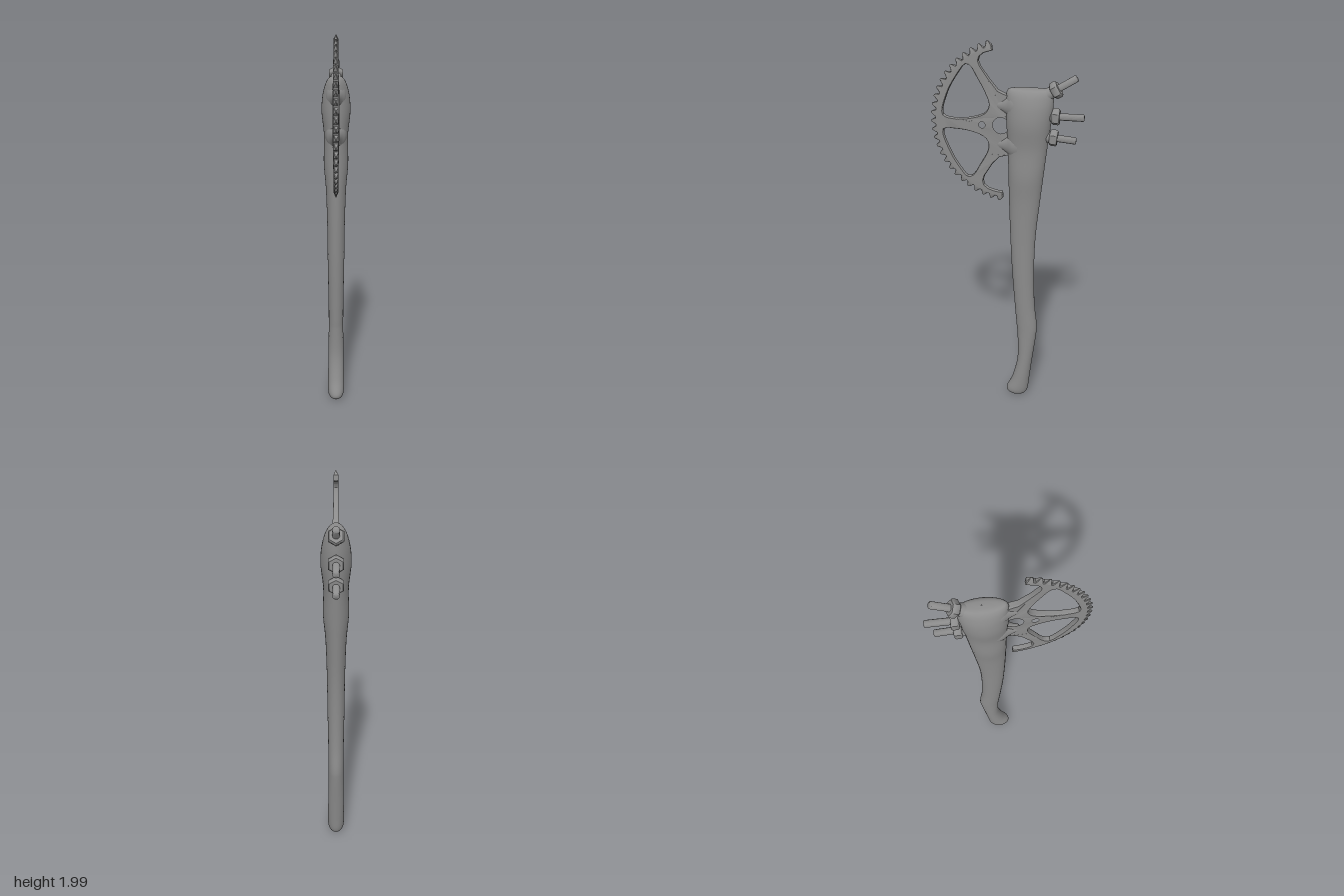
import * as THREE from 'three';
import { toCreasedNormals } from 'three/addons/utils/BufferGeometryUtils.js';

const material = new THREE.MeshStandardMaterial({ color: 0x8c8c8c });

function part(name, geometry, parent) {
  const mesh = new THREE.Mesh(geometry, material);
  mesh.name = name;
  parent.add(mesh);
  return mesh;
}

// Handle: oval cross-sections [y, front z, back z, half width], smoothed by a spline
const SECTIONS = [
  [0.002, -0.055, -0.065, 0.001], [0.01, -0.02, -0.1, 0.028], [0.04, -0.002, -0.12, 0.043],
  [0.12, -0.035, -0.13, 0.044], [0.25, -0.063, -0.145, 0.042], [0.4, -0.062, -0.163, 0.04],
  [0.47, -0.056, -0.166, 0.04], [0.6, -0.045, -0.152, 0.041], [0.8, -0.03, -0.146, 0.044],
  [1.0, -0.02, -0.151, 0.046], [1.2, -0.013, -0.17, 0.052], [1.34, -0.01, -0.185, 0.063],
  [1.48, -0.006, -0.2, 0.061], [1.6, 0, -0.215, 0.073], [1.68, 0.001, -0.224, 0.069],
  [1.735, 0.002, -0.226, 0.056], [1.765, -0.004, -0.223, 0.041], [1.776, -0.025, -0.205, 0.025],
  [1.779, -0.112, -0.118, 0.001],
];

function handleGeometry(rows = 108, sides = 32) {
  const edges = new THREE.CatmullRomCurve3(
    SECTIONS.map(([y, f, b]) => new THREE.Vector3(f, y, b)), false, 'catmullrom', 0.5);
  const widths = new THREE.CatmullRomCurve3(
    SECTIONS.map(([y, , , w]) => new THREE.Vector3(w, y, 0)), false, 'catmullrom', 0.5);
  const positions = [], index = [];
  for (let i = 0; i <= rows; i++) {
    const e = edges.getPoint(i / rows), w = widths.getPoint(i / rows).x;
    for (let j = 0; j < sides; j++) {
      const a = (j / sides) * Math.PI * 2;
      positions.push(w * Math.sin(a), e.y, (e.x + e.z) / 2 + ((e.x - e.z) / 2) * Math.cos(a));
      if (i < rows) {
        const p = i * sides + j, q = i * sides + (j + 1) % sides;
        index.push(p, q, q + sides, p, q + sides, p + sides);
      }
    }
  }
  const geometry = new THREE.BufferGeometry();
  geometry.setAttribute('position', new THREE.Float32BufferAttribute(positions, 3));
  geometry.setIndex(index);
  geometry.computeVertexNormals();
  return geometry;
}

// Toothed blade, drawn in (z, y) and extruded across x
const CENTRE = { z: -0.038, y: 1.6 }, RADIUS = 0.414;
const rimPoint = (angle, r) => new THREE.Vector2(
  CENTRE.z + RADIUS * r * Math.cos(angle), CENTRE.y + RADIUS * r * Math.sin(angle));
const toPoints = (list) => list.map(([z, y]) => new THREE.Vector2(z, y));

function roundedHole(list) {
  const curve = new THREE.CatmullRomCurve3(list.map(([z, y]) => new THREE.Vector3(z, y, 0)), true);
  return new THREE.Path(curve.getSpacedPoints(44).slice(0, -1).map((p) => new THREE.Vector2(p.x, p.y)));
}

function bladeGeometry() {
  const teeth = 26, start = 1.3, end = -1.44, root = 0.945;
  const outline = [];
  for (let i = 0; i < teeth; i++) {
    for (const [t, r] of [[0.08, root], [0.4, 1], [0.6, 1], [0.92, root]]) {
      outline.push(rimPoint(start + (end - start) * (i + t) / teeth, r));
    }
  }
  // lower rim end, lower spoke, buried root, upper spoke, upper rim end
  outline.push(...toPoints([[0.02, 1.242], [0.06, 1.248], [0.09, 1.258], [0.112, 1.275],
    [0.118, 1.298], [0.11, 1.325], [0.066, 1.395], [0.034, 1.428], [0, 1.438], [-0.05, 1.438],
    [-0.05, 1.745], [0, 1.745], [0.04, 1.762], [0.087, 1.82], [0.125, 1.875], [0.134, 1.9],
    [0.128, 1.92], [0.108, 1.937], [0.066, 1.95]]));
  const shape = new THREE.Shape(outline);
  shape.holes.push(
    roundedHole([[0.312, 1.63], [0.29, 1.735], [0.236, 1.832], [0.194, 1.882], [0.174, 1.874],
      [0.142, 1.82], [0.104, 1.75], [0.084, 1.69], [0.104, 1.65], [0.167, 1.624], [0.246, 1.614]]),
    roundedHole([[0.312, 1.555], [0.246, 1.56], [0.167, 1.55], [0.107, 1.526], [0.088, 1.496],
      [0.094, 1.455], [0.132, 1.385], [0.168, 1.327], [0.194, 1.317], [0.234, 1.363], [0.28, 1.442]]),
    new THREE.Path().absarc(0.119, 1.59, 0.019, 0, Math.PI * 2, true),
    new THREE.Path().absellipse(0.026, 1.592, 0.043, 0.044, 0, Math.PI * 2, true, 0));
  const geometry = new THREE.ExtrudeGeometry(shape, {
    depth: 0.014, bevelThickness: 0.005, bevelSize: 0.003, bevelOffset: -0.003,
    bevelSegments: 1, curveSegments: 10,
  });
  geometry.translate(0, 0, -0.007);
  // Thin the teeth to a point and thicken the web near the handle
  const pos = geometry.attributes.position;
  for (let i = 0; i < pos.count; i++) {
    const r = Math.hypot(pos.getX(i) - CENTRE.z, pos.getY(i) - CENTRE.y) / RADIUS;
    const taper = 1 - 0.8 * THREE.MathUtils.smoothstep(r, 0.945, 0.995);
    const swell = 1 + 0.4 * (1 - THREE.MathUtils.smoothstep(r, 0.3, 0.7));
    pos.setZ(i, pos.getZ(i) * taper * swell);
  }
  geometry.rotateY(-Math.PI / 2);
  return toCreasedNormals(geometry, 0.6);
}

// Flared fairing that blends the blade root into the handle
function fairingGeometry() {
  const profile = new THREE.SplineCurve(toPoints(
    [[0.056, -0.06], [0.048, -0.03], [0.033, -0.005], [0.022, 0.02], [0.015, 0.045], [0.001, 0.055]]));
  const geometry = new THREE.LatheGeometry(profile.getPoints(18), 24);
  geometry.rotateX(Math.PI / 2);
  return geometry;
}

// Bolt along local +y, its nut sitting at the origin
function bolt(name, y, z, length, tilt) {
  const group = new THREE.Group();
  group.name = name;
  const shaft = new THREE.LatheGeometry(
    toPoints([[0.017, -0.05], [0.017, length - 0.004], [0.013, length], [0, length]]), 20);
  part('boltShaft', toCreasedNormals(shaft, 0.9), group);
  const nut = new THREE.LatheGeometry(
    toPoints([[0, -0.019], [0.035, -0.019], [0.042, -0.012], [0.042, 0.012], [0.036, 0.019], [0, 0.019]]), 6);
  part('hexNut', toCreasedNormals(nut, 0.9), group);
  const collar = part('boltCollar', new THREE.CylinderGeometry(0.026, 0.032, 0.04, 20), group);
  collar.position.y = -0.03;
  group.position.set(0, y, z);
  group.rotation.x = -Math.PI / 2 + tilt;
  return group;
}

export function createModel() {
  const model = new THREE.Group();
  model.name = 'axe';
  part('handle', handleGeometry(), model);
  part('toothedBlade', bladeGeometry(), model);
  for (const [name, y] of [['upperFairing', 1.69], ['lowerFairing', 1.495]]) {
    const fairing = part(name, fairingGeometry(), model);
    fairing.position.set(0, y, 0);
    fairing.scale.y = 1.4;
  }
  model.add(
    bolt('upperBolt', 1.776, -0.235, 0.115, 0.56),
    bolt('middleBolt', 1.647, -0.238, 0.136, 0),
    bolt('lowerBolt', 1.541, -0.23, 0.11, -0.09));
  return model;
}
